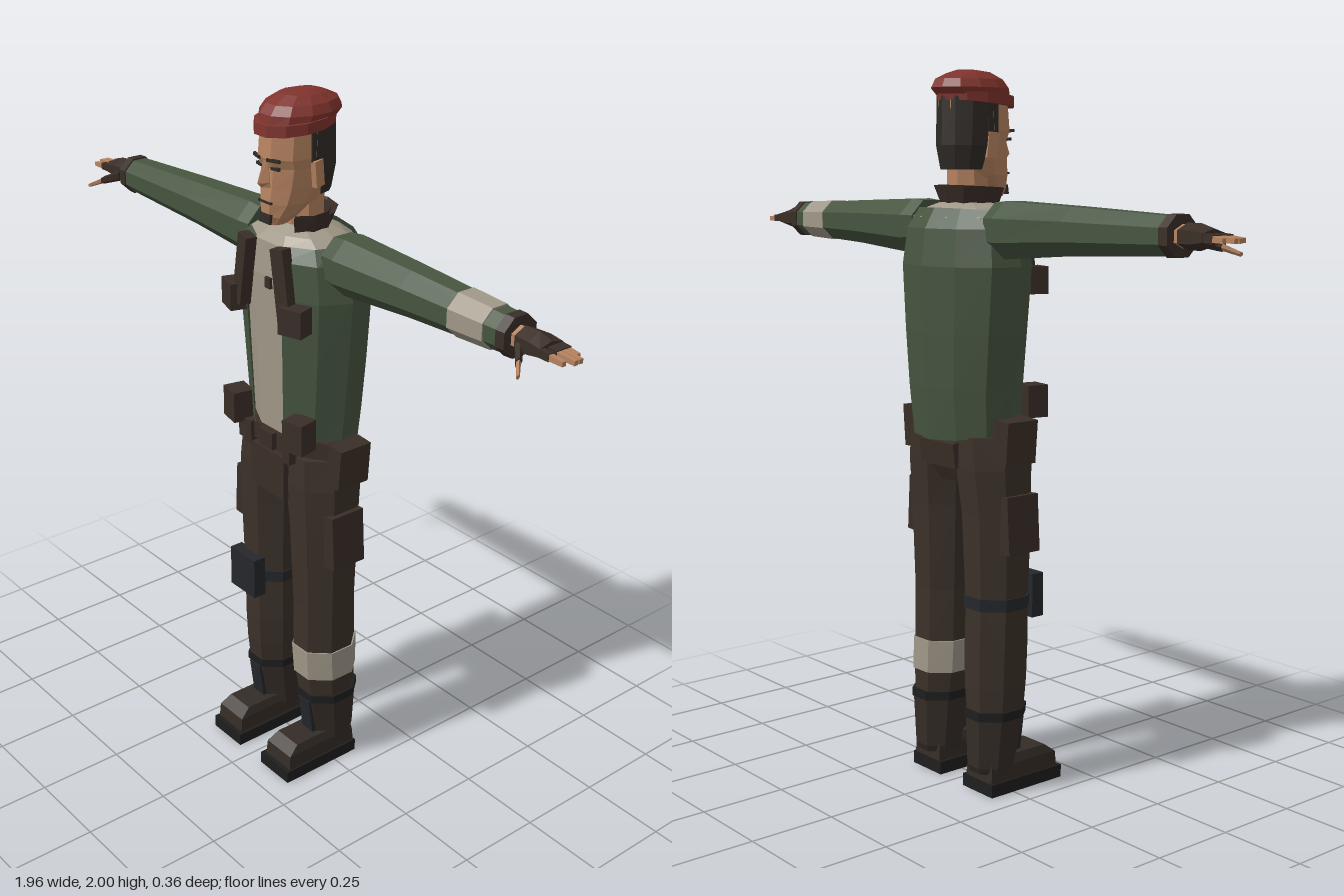
import * as THREE from 'three';

const mat = (name, color, side = THREE.FrontSide) => {
  const m = new THREE.MeshStandardMaterial({ color, side });
  m.name = name;
  return m;
};

// Faceted loft. Each ring is [y, cx, cz, rx, rz, tilt]; angle 0 faces +z and turns towards +x.
function loft(rings, n = 8, { half = true, start = 0, arc = Math.PI * 2, caps = true } = {}) {
  const full = arc > 6.28;
  const k = full && half ? 1 / Math.cos(Math.PI / n) : 1;
  const off = full && half ? Math.PI / n : start;
  const at = (r, i) => {
    const [y, cx, cz, rx, rz, tilt = 0] = rings[r];
    const a = off + (arc * i) / n;
    return [cx + Math.sin(a) * rx * k, y + Math.cos(a) * tilt, cz + Math.cos(a) * rz * k];
  };
  const p = [];
  const last = rings.length - 1;
  for (let i = 0; i < n; i++) {
    for (let r = 0; r < last; r++) {
      const a = at(r, i), b = at(r, i + 1), c = at(r + 1, i + 1), d = at(r + 1, i);
      p.push(...a, ...b, ...c, ...a, ...c, ...d);
    }
    if (full && caps) {
      const mid = (r) => [rings[r][1], rings[r][0], rings[r][2]];
      p.push(...mid(0), ...at(0, i + 1), ...at(0, i), ...mid(last), ...at(last, i), ...at(last, i + 1));
    }
  }
  const g = new THREE.BufferGeometry();
  g.setAttribute('position', new THREE.Float32BufferAttribute(p, 3));
  return g;
}

// Lofts from the shoulder outwards along +x: [x, y, z, ry, rz]
const armLoft = (rings, n = 8) => loft(rings.map(([x, y, z, ry, rz]) => [x, -y, z, ry, rz]), n).rotateZ(-Math.PI / 2);

// Box given by its limits, with an optional turn about its centre
function box(x0, x1, y0, y1, z0, z1, rx = 0, ry = 0, rz = 0) {
  const g = new THREE.BoxGeometry(x1 - x0, y1 - y0, z1 - z0);
  g.rotateX(rx).rotateY(ry).rotateZ(rz);
  return g.translate((x0 + x1) / 2, (y0 + y1) / 2, (z0 + z1) / 2);
}

// Reflects a triangle soup in x and restores its winding
function mirror(g) {
  const a = g.attributes.position;
  for (let i = 0; i < a.count; i += 3) {
    const v = [0, 2, 1].map((j) => [-a.getX(i + j), a.getY(i + j), a.getZ(i + j)]);
    v.forEach((q, j) => a.setXYZ(i + j, ...q));
  }
  return g;
}

export function createModel() {
  const green = mat('jacketGreen', 0x465540, THREE.DoubleSide);
  const cream = mat('clothCream', 0xa09888);
  const trouser = mat('trouserBrown', 0x3b3129);
  const leather = mat('leatherBrown', 0x3a2e27, THREE.DoubleSide);
  const boot = mat('bootBrown', 0x342c26);
  const sole = mat('soleBlack', 0x1f1e1f);
  const pad = mat('padSlate', 0x25272b);
  const red = mat('beretRed', 0x7f332d);
  const skin = mat('skin', 0xb68360);
  const hair = mat('hairDark', 0x2f2a26, THREE.DoubleSide);

  const model = new THREE.Group();
  const add = (name, geo, material, side = 1) => {
    let g = geo.index ? geo.toNonIndexed() : geo;
    if (side < 0) g = mirror(g);
    g.computeVertexNormals();
    const m = new THREE.Mesh(g, material);
    m.name = name;
    model.add(m);
  };
  const pair = (name, make, material) => {
    add(name + 'Left', make(), material);
    add(name + 'Right', make(), material, -1);
  };

  // Torso: shirt, open jacket, collar
  add('shirt', loft([[1.02, 0, -0.02, 0.15, 0.105], [1.3, 0, -0.02, 0.165, 0.115], [1.52, 0, -0.025, 0.18, 0.125],
    [1.61, 0, -0.025, 0.17, 0.115], [1.635, 0, -0.02, 0.12, 0.09], [1.655, 0, -0.015, 0.06, 0.055]], 10), cream);
  const open = 0.36;
  add('jacket', loft([[1.035, 0, -0.025, 0.175, 0.132, 0.03], [1.15, 0, -0.03, 0.185, 0.14],
    [1.3, 0, -0.03, 0.2, 0.146], [1.48, 0, -0.028, 0.216, 0.152], [1.58, 0, -0.025, 0.2, 0.143],
    [1.625, 0, -0.02, 0.17, 0.115, -0.01]], 10, { start: open, arc: Math.PI * 2 - 2 * open }), green);
  add('collar', loft([[1.625, 0, -0.015, 0.078, 0.07, -0.01], [1.69, 0, -0.015, 0.108, 0.09, -0.005]], 8,
    { start: 0.6, arc: Math.PI * 2 - 1.2 }), leather);
  add('collarInner', loft([[1.625, 0, -0.015, 0.066, 0.06, -0.01], [1.69, 0, -0.015, 0.088, 0.075, -0.005]], 8,
    { start: 0.6, arc: Math.PI * 2 - 1.2 }), leather);
  add('shirtClip', box(-0.002, 0.02, 1.49, 1.52, 0.092, 0.108), leather);
  pair('chestStrap', () => box(0.063, 0.107, 1.42, 1.62, 0.095, 0.128, 0, 0.15, 0.16), leather);
  pair('chestPouch', () => box(0.093, 0.165, 1.4, 1.475, 0.085, 0.137, 0, 0.3), leather);
  pair('waistPouch', () => box(0.1, 0.168, 1.06, 1.15, 0.07, 0.132, 0, 0.2), leather);

  // Hips and belt gear
  add('hips', loft([[0.88, 0, -0.01, 0.11, 0.07], [0.94, 0, -0.015, 0.17, 0.1], [1.07, 0, -0.012, 0.168, 0.1]], 8), trouser);
  add('belt', loft([[1.02, 0, -0.012, 0.176, 0.108], [1.07, 0, -0.012, 0.176, 0.108]], 8), leather);
  add('frontFlap', box(-0.072, 0.072, 0.88, 1.01, 0.07, 0.106), leather);
  add('buckle', box(-0.03, 0.03, 1.02, 1.07, 0.09, 0.112), leather);
  add('backPouch', box(-0.075, 0.075, 0.93, 1.0, -0.13, -0.09, -0.12), leather);
  pair('beltLoop', () => box(0.07, 0.1, 1.0, 1.07, 0.07, 0.108), leather);
  pair('hipPouch', () => box(0.175, 0.228, 0.95, 1.07, -0.07, 0.035, 0, 0, -0.08), leather);
  pair('thighPocket', () => box(0.178, 0.222, 0.7, 0.86, -0.06, 0.05, 0, 0, 0.06), leather);

  // Legs and boots
  pair('trouserLeg', () => loft([[0.2, 0.12, -0.018, 0.066, 0.078], [0.31, 0.115, -0.013, 0.076, 0.086],
    [0.4, 0.113, -0.01, 0.079, 0.088], [0.55, 0.114, -0.008, 0.081, 0.086], [0.8, 0.112, -0.008, 0.09, 0.094],
    [0.93, 0.105, -0.012, 0.096, 0.102], [1.02, 0.1, -0.015, 0.09, 0.1]], 8), trouser);
  pair('bootShaft', () => loft([[0.06, 0.118, -0.03, 0.056, 0.06], [0.08, 0.118, -0.03, 0.06, 0.068],
    [0.24, 0.12, -0.018, 0.072, 0.084]], 8), boot);
  pair('bootStrap', () => loft([[0.22, 0.12, -0.018, 0.075, 0.087], [0.245, 0.12, -0.018, 0.075, 0.087]], 8), sole);
  pair('bootTongue', () => box(0.095, 0.143, 0.09, 0.22, 0.03, 0.062, 0.13), pad);
  pair('bootFoot', () => loft([[0.035, 0.118, 0.045, 0.056, 0.122], [0.08, 0.118, 0.045, 0.054, 0.118],
    [0.105, 0.118, 0.03, 0.045, 0.1]], 4), boot);
  pair('bootSole', () => box(0.052, 0.18, 0, 0.037, -0.08, 0.18), sole);
  add('shinBand', loft([[0.305, 0.115, -0.013, 0.08, 0.09], [0.4, 0.113, -0.01, 0.083, 0.092]], 8), cream);
  add('kneeStrap', loft([[0.535, -0.114, -0.008, 0.085, 0.09], [0.57, -0.114, -0.008, 0.086, 0.091]], 8), pad);
  add('kneePad', box(-0.175, -0.062, 0.495, 0.62, 0.07, 0.11), pad);

  // Sleeves
  pair('sleeve', () => armLoft([[0.155, 1.58, -0.025, 0.07, 0.07], [0.2, 1.578, -0.027, 0.076, 0.076],
    [0.45, 1.583, -0.024, 0.062, 0.066], [0.79, 1.583, -0.018, 0.047, 0.05]]), green);
  pair('sleeveCuff', () => armLoft([[0.772, 1.583, -0.018, 0.052, 0.054], [0.8, 1.583, -0.018, 0.051, 0.053]]), leather);
  add('armBand', armLoft([[0.615, 1.583, -0.021, 0.0575, 0.061], [0.73, 1.583, -0.019, 0.053, 0.056]]), cream);

  // Gloved hands with bare fingertips
  pair('wrist', () => armLoft([[0.78, 1.583, -0.018, 0.026, 0.03], [0.83, 1.583, -0.018, 0.024, 0.03]], 6), skin);
  pair('glove', () => armLoft([[0.815, 1.583, -0.018, 0.028, 0.035], [0.86, 1.583, -0.018, 0.028, 0.038],
    [0.898, 1.583, -0.018, 0.018, 0.038]], 6), leather);
  [-0.046, -0.03, -0.014, 0.012].forEach((z, i) => {
    const tip = [0.955, 0.978, 0.978, 0.965][i];
    pair('gloveFinger' + i, () => armLoft([[0.885, 1.583, z, 0.011, 0.008], [0.925, 1.581, z, 0.01, 0.008]], 4), leather);
    pair('fingertip' + i, () => armLoft([[0.92, 1.581, z, 0.008, 0.007], [tip, 1.578, z, 0.006, 0.006]], 4), skin);
  });
  pair('thumbGlove', () => armLoft([[0.825, 1.575, 0.012, 0.014, 0.013], [0.865, 1.558, 0.052, 0.01, 0.01]], 5), leather);
  pair('thumbTip', () => armLoft([[0.86, 1.56, 0.048, 0.008, 0.008], [0.895, 1.541, 0.083, 0.005, 0.005]], 5), skin);

  // Head: rings as [y, half width, front z, back z]
  const headRing = ([y, w, f, b]) => [y, 0, (f + b) / 2, w, (f - b) / 2];
  add('neck', loft([[1.6, 0, -0.015, 0.056, 0.055], [1.75, 0, -0.02, 0.054, 0.055]], 8), skin);
  add('head', loft([[1.663, 0.026, 0.098, 0.04], [1.685, 0.042, 0.106, 0.0], [1.72, 0.061, 0.106, -0.06],
    [1.76, 0.07, 0.102, -0.085], [1.815, 0.077, 0.098, -0.098], [1.84, 0.08, 0.108, -0.1],
    [1.92, 0.08, 0.1, -0.1]].map(headRing), 10), skin);
  add('nose', loft([[1.765, 0, 0.1, 0.018, 0.018], [1.778, 0, 0.104, 0.017, 0.026], [1.835, 0, 0.1, 0.008, 0.01]], 4,
    { half: false }), skin);
  add('hair', loft([[1.735, 0, -0.02, 0.066, 0.079], [1.8, 0, -0.01, 0.083, 0.1], [1.93, 0, -0.005, 0.085, 0.102]], 6,
    { start: 1.62, arc: Math.PI * 2 - 3.24 }), hair);
  add('beard', box(-0.022, 0.022, 1.668, 1.694, 0.1, 0.108, -0.15), hair);
  add('mouth', box(-0.026, 0.026, 1.722, 1.728, 0.102, 0.108), hair);
  pair('ear', () => box(0.074, 0.09, 1.765, 1.835, -0.018, 0.014, 0.1, 0.2), skin);
  pair('sideburn', () => box(0.076, 0.084, 1.83, 1.92, -0.015, 0.018), hair);
  pair('eye', () => box(0.02, 0.046, 1.813, 1.821, 0.092, 0.1, 0, 0.2), hair);
  pair('eyebrow', () => box(0.014, 0.054, 1.836, 1.844, 0.1, 0.108, 0, 0.3), hair);

  // Beret with a tilted band and a crown pushed back
  add('beretBand', loft([[1.91, 0, 0.008, 0.09, 0.112, -0.01], [1.938, 0, 0.006, 0.09, 0.112, -0.008]], 12), red);
  add('beretCrown', loft([[1.93, 0, 0, 0.084, 0.108, -0.006], [1.952, 0, -0.012, 0.087, 0.115, 0],
    [1.975, 0, -0.015, 0.075, 0.1, 0], [1.992, 0, -0.02, 0.05, 0.066, 0.003], [2, 0, -0.022, 0.02, 0.03]], 12), red);

  return model;
}
